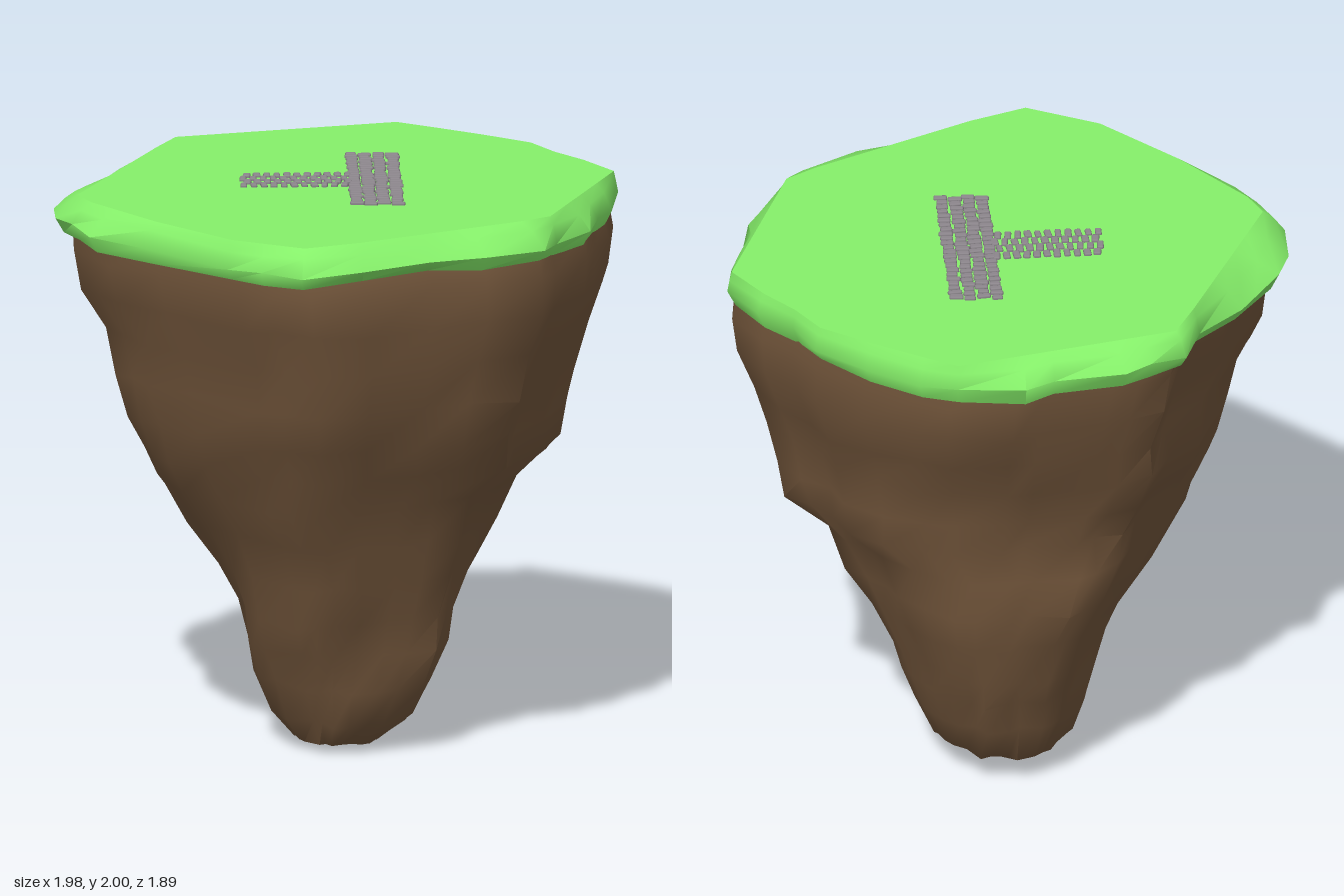
import * as THREE from 'three';
import { toCreasedNormals, mergeGeometries } from 'three/addons/utils/BufferGeometryUtils.js';
import { RoundedBoxGeometry } from 'three/addons/geometries/RoundedBoxGeometry.js';

// Island rim seen from above (x, z), counter-clockwise
const RIM = [
  [0.99, -0.07], [0.92, -0.25], [0.82, -0.38], [0.77, -0.53], [0.62, -0.68], [0.46, -0.83], [0.34, -0.89], [0.11, -0.95],
  [0, -0.91], [-0.25, -0.92], [-0.35, -0.87], [-0.48, -0.83], [-0.56, -0.66], [-0.74, -0.51], [-0.81, -0.41], [-0.91, -0.31],
  [-0.97, -0.18], [-0.99, -0.01], [-0.95, 0.11], [-0.91, 0.25], [-0.75, 0.44], [-0.5, 0.74], [-0.4, 0.85], [-0.27, 0.94],
  [-0.05, 0.9], [0.2, 0.8], [0.4, 0.78], [0.62, 0.68], [0.68, 0.56], [0.82, 0.41], [0.87, 0.25], [0.94, 0.11],
];

// Corners of the flat lawn on top (x, z), same direction
const LAWN = [
  [0.98, -0.08], [0.74, -0.54], [0.34, -0.88], [-0.46, -0.78], [-0.93, 0.02], [-0.56, 0.66], [-0.23, 0.89], [0.65, 0.56],
];

// Rock cross-sections: height, then x and z extents
const SECTIONS = [
  [1.89, -0.93, 0.96, -0.88, 0.88], [1.8, -0.92, 0.97, -0.88, 0.9], [1.66, -0.89, 0.96, -0.84, 0.86],
  [1.5, -0.8, 0.89, -0.78, 0.81], [1.35, -0.77, 0.84, -0.7, 0.76], [1.2, -0.73, 0.8, -0.65, 0.69],
  [1.08, -0.68, 0.78, -0.62, 0.62], [0.95, -0.62, 0.64, -0.61, 0.56], [0.8, -0.51, 0.57, -0.61, 0.49],
  [0.65, -0.4, 0.49, -0.55, 0.41], [0.5, -0.33, 0.41, -0.52, 0.34], [0.38, -0.3, 0.37, -0.46, 0.29],
  [0.25, -0.28, 0.33, -0.41, 0.26], [0.11, -0.23, 0.27, -0.34, 0.21], [0.03, -0.15, 0.14, -0.2, 0.15],
];

// Bulges in the rock: direction from the axis (x, z), height, size
const BULGES = [[-0.7, -0.7, 1.3, 0.12], [-0.7, 0.7, 0.48, 0.2], [0.7, 0.7, 0.35, 0.2]];

function seeded(seed) {
  return () => (seed = (seed * 16807) % 2147483647) / 2147483647;
}

// Skins closed rings listed from top to bottom, and closes the lower end
function loft(rings, bottomCentre, crease) {
  const n = rings[0].length, last = (rings.length - 1) * n;
  const points = [...rings.flat(), bottomCentre];
  const index = [];
  for (let j = 0; j < n; j++) {
    const k = (j + 1) % n;
    for (let r = 0; r < last; r += n) {
      index.push(r + j, r + n + j, r + k, r + k, r + n + j, r + n + k);
    }
    index.push(points.length - 1, last + k, last + j);
  }
  const geometry = new THREE.BufferGeometry();
  geometry.setAttribute('position', new THREE.Float32BufferAttribute(points.flat(), 3));
  geometry.setIndex(index);
  return toCreasedNormals(geometry, crease);
}

function bulge(x, z, y) {
  return BULGES.reduce((sum, [bx, bz, by, size]) => {
    const away = (x - bx) ** 2 + (z - bz) ** 2;
    return sum + size * Math.exp(-away / 0.2 - ((y - by) / 0.2) ** 2);
  }, 0);
}

function createRock() {
  const random = seeded(71);
  const rings = SECTIONS.map(([y, x0, x1, z0, z1], level) => RIM.map(([x, z], j) => {
    // The outline turns from the rim's shape into an oval near the tip
    const length = Math.hypot(x, z), dx = x / length, dz = z / length;
    const round = 0.7 * (1 - THREE.MathUtils.smoothstep(y, 0.3, 1));
    const a = THREE.MathUtils.lerp(x / 0.99, dx, round);
    const b = THREE.MathUtils.lerp(z / 0.945, dz, round);
    // Soft gullies and a little random roughness
    const gully = 0.01 * Math.sin(j * 1.37 + y * 2.5) * Math.min(1, level / 5);
    const s = 1 + bulge(dx, dz, y) + gully + (random() - 0.5) * (0.012 + 0.004 * level);
    const lift = level ? (random() - 0.5) * Math.min(0.03, y * 0.4) : 0;
    return [
      (x0 + x1) / 2 + a * s * (x1 - x0) / 2,
      y + lift,
      (z0 + z1) / 2 + b * s * (z1 - z0) / 2,
    ];
  }));
  return loft(rings, [-0.04, 0, -0.04], 0.9);
}

// Part of the way from the centre to a rim point that lies on the lawn
function lawnShare([x, z]) {
  return LAWN.reduce((share, [ax, az], i) => {
    const [bx, bz] = LAWN[(i + 1) % LAWN.length];
    const nx = az - bz, nz = bx - ax;
    const reach = (nx * ax + nz * az) / (nx * x + nz * z);
    return reach > 0 ? Math.min(share, reach) : share;
  }, 0.99);
}

// Sloping turf edge: from the lawn out to the rim, then back in to the rock
function createTurf(lawn) {
  const random = seeded(19);
  const ring = (y, out, scale, wave) => RIM.map(([x, z], j) => {
    const s = THREE.MathUtils.lerp(lawnShare([x, z]), scale, out);
    return [x * s, y + wave * (Math.sin(j * 0.8) * 0.5 + random() - 0.5), z * s];
  });
  const rings = [
    lawn, ring(1.96, 0.5, 1, 0.01), ring(1.905, 1, 1, 0.02),
    ring(1.85, 1, 0.97, 0.025), ring(1.875, 1, 0.9, 0),
  ];
  return loft(rings, [0, 1.88, 0], 1.1);
}

// A strip of loose cobbles: four lanes, running along z from z0 to z1
function cobbleStrip(z0, z1, pitch, random) {
  const stones = [];
  for (let lane = 0; lane < 4; lane++) {
    for (let z = z0 + (lane % 2) * pitch * 0.4; z < z1; z += pitch) {
      const w = 0.046 * (0.8 + 0.3 * random()), d = 0.025 * (0.85 + 0.25 * random());
      const stone = new RoundedBoxGeometry(w, 0.018, d, 1, 0.006);
      stone.rotateY((random() - 0.5) * 0.25);
      stone.translate((lane - 1.5) * 0.047 + (random() - 0.5) * 0.006, 1.991, z);
      stones.push(stone);
    }
  }
  return mergeGeometries(stones);
}

export function createModel() {
  const island = new THREE.Group();
  island.name = 'floatingIsland';
  const add = (parent, name, geometry, material) => {
    const mesh = new THREE.Mesh(geometry, material);
    mesh.name = name;
    parent.add(mesh);
    return mesh;
  };

  add(island, 'rock', createRock(), new THREE.MeshStandardMaterial({ color: 0x74573c }));

  // Flat lawn and the turf edge around it
  const grass = new THREE.MeshStandardMaterial({ color: 0x86f06a });
  const lawnRing = RIM.map((p) => [p[0] * lawnShare(p), 1.99, p[1] * lawnShare(p)]);
  const lawnShape = new THREE.Shape(lawnRing.map(([x, , z]) => new THREE.Vector2(x, -z)));
  const lawn = add(island, 'lawn', new THREE.ShapeGeometry(lawnShape), grass);
  lawn.rotation.x = -Math.PI / 2;
  lawn.position.y = 1.99;
  add(island, 'turfEdge', createTurf(lawnRing), grass);

  // T-shaped cobbled path, slightly turned on the lawn
  const path = new THREE.Group();
  path.name = 'cobbledPath';
  path.position.set(0.135, 0, -0.06);
  path.rotation.y = -0.12;
  island.add(path);
  const stone = new THREE.MeshStandardMaterial({ color: 0x8c868c });
  const random = seeded(5);
  add(path, 'mainPath', cobbleStrip(-0.365, 0.37, 0.032, random), stone);
  const arm = add(path, 'sidePath', cobbleStrip(-0.455, -0.09, 0.035, random), stone);
  arm.rotation.y = Math.PI / 2;

  return island;
}
